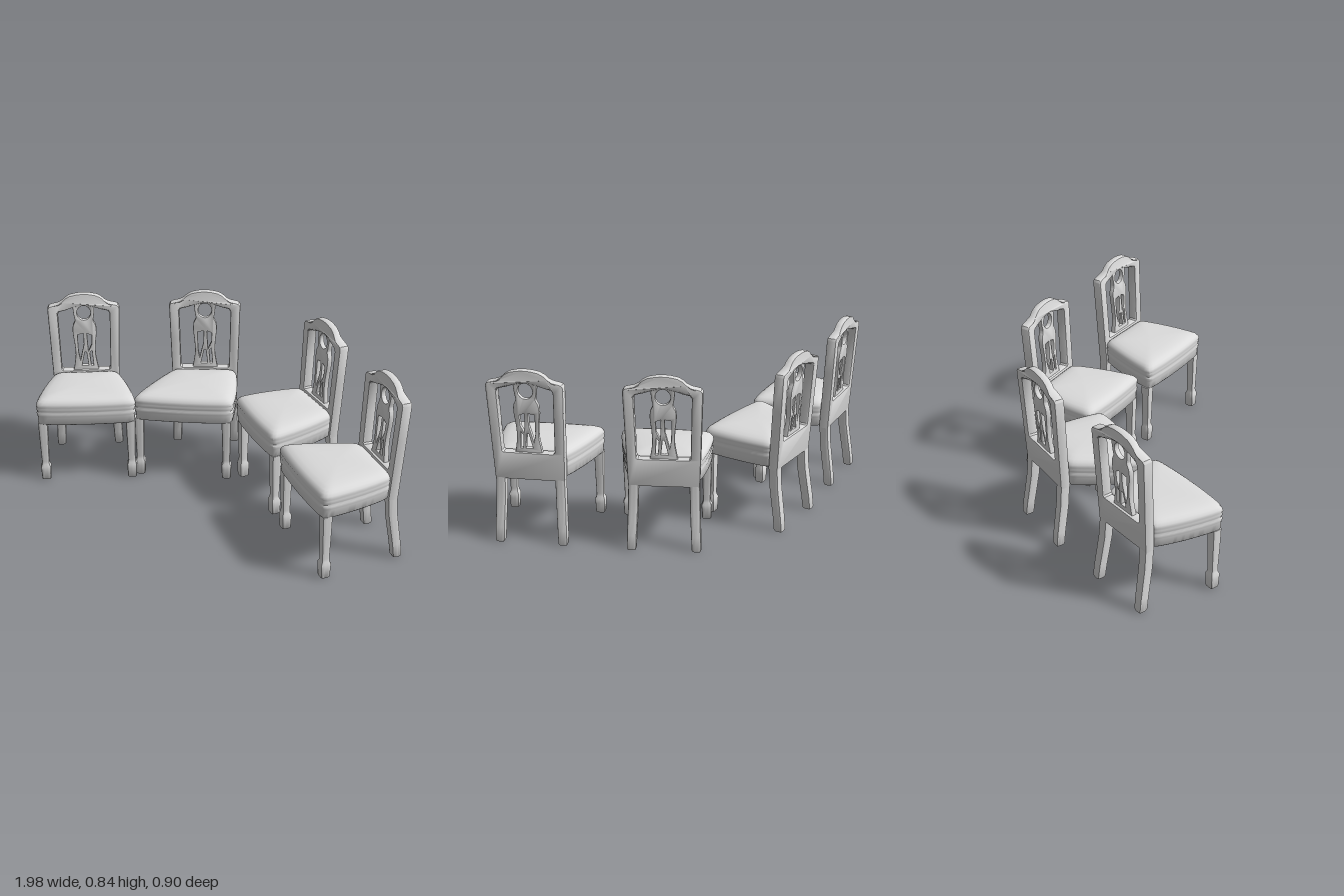
import * as THREE from 'three';
import { toCreasedNormals } from 'three/addons/utils/BufferGeometryUtils.js';

const grey = new THREE.MeshStandardMaterial({ color: 0xdcdcdc });
grey.name = 'plainGrey';

function part(name, geometry, crease = 0.7) {
  const mesh = new THREE.Mesh(toCreasedNormals(geometry, crease), grey);
  mesh.name = name;
  return mesh;
}

// Points of a rounded square spanning -1..1, as [u, v]
function roundedSquare(count, power) {
  return Array.from({ length: count }, (_, i) => {
    const a = (i / count) * Math.PI * 2;
    const c = Math.cos(a), s = Math.sin(a);
    const r = (Math.abs(c) ** power + Math.abs(s) ** power) ** (-1 / power);
    return [c * r, s * r];
  });
}

// Skin joining equal rings of Vector3, closed at both ends
function loft(rings) {
  const n = rings[0].length;
  const cap = (ring) => {
    const c = new THREE.Vector3();
    ring.forEach((p) => c.add(p));
    c.divideScalar(n);
    return ring.map(() => c);
  };
  const all = [cap(rings[0]), ...rings, cap(rings[rings.length - 1])];
  const pos = [], index = [];
  all.forEach((ring) => ring.forEach((p) => pos.push(p.x, p.y, p.z)));
  for (let j = 0; j < all.length - 1; j++) {
    for (let i = 0; i < n; i++) {
      const k = (i + 1) % n, a = j * n + i, b = j * n + k;
      index.push(a, a + n, b, b, a + n, b + n);
    }
  }
  const g = new THREE.BufferGeometry();
  g.setAttribute('position', new THREE.Float32BufferAttribute(pos, 3));
  g.setIndex(index);
  return g;
}

// Square column through stations [x, y, z, half width]
function column(stations) {
  const section = roundedSquare(24, 6);
  return loft(stations.map(([x, y, z, h]) =>
    section.map(([u, v]) => new THREE.Vector3(x + u * h, y, z + v * h))));
}

// Closed outline mirrored from its +x half
function mirrored(half) {
  return [...half, ...half.map(([x, y]) => [-x, y]).reverse()].map(([x, y]) => new THREE.Vector2(x, y));
}

// Extruded panel leaning back and splaying outward, with a thinner crest
function leaningPanel(shape, depth, bevel, crestScale) {
  const g = new THREE.ExtrudeGeometry(shape, {
    depth: depth - 2 * bevel, bevelSize: bevel, bevelThickness: bevel,
    bevelOffset: -bevel, bevelSegments: 2, curveSegments: 24,
  });
  g.translate(0, 0, bevel - depth / 2);
  const p = g.attributes.position;
  for (let i = 0; i < p.count; i++) {
    const x = p.getX(i), y = p.getY(i), t = (y - 0.31) / 0.5;
    const thin = y > 0.7 && Math.abs(x) < 0.113 ? crestScale : 1;
    p.setX(i, x * (1 + 0.1 * t));
    p.setZ(i, p.getZ(i) * thin + 0.035 - 0.032 * t);
  }
  return g;
}

// Posts, arched crest and lower rail
function backFrame() {
  const shape = new THREE.Shape(mirrored([
    [0.162, 0.305], [0.162, 0.44], [0.162, 0.6], [0.162, 0.765], [0.155, 0.777], [0.14, 0.782],
    [0.115, 0.788], [0.095, 0.801], [0.08, 0.817], [0.06, 0.829], [0.03, 0.836], [0.01, 0.838],
  ]));
  shape.holes.push(new THREE.Path(mirrored([
    [0.112, 0.44], [0.118, 0.447], [0.118, 0.6], [0.118, 0.738], [0.11, 0.749],
    [0.08, 0.757], [0.05, 0.768], [0.02, 0.777],
  ])));
  return leaningPanel(shape, 0.048, 0.006, 0.75);
}

// Pierced centre splat with a round eye and branching slots
function backSplat() {
  const edge = new THREE.SplineCurve([
    [0.062, 0.435], [0.055, 0.47], [0.048, 0.52], [0.05, 0.58], [0.055, 0.63], [0.053, 0.67],
    [0.042, 0.697], [0.045, 0.72], [0.048, 0.75], [0.05, 0.8],
  ].map(([x, y]) => new THREE.Vector2(x, y)));
  const shape = new THREE.Shape(mirrored(edge.getPoints(36).map((p) => [p.x, p.y])));
  const eye = new THREE.Path();
  eye.absellipse(0, 0.738, 0.031, 0.037, 0, Math.PI * 2, true);
  const slots = [
    [[-0.034, 0.625], [-0.006, 0.63], [-0.007, 0.57], [-0.026, 0.49], [-0.033, 0.53]],
    [[0.01, 0.63], [0.032, 0.62], [0.03, 0.57], [0.014, 0.535]],
    [[-0.004, 0.53], [0.004, 0.53], [0.012, 0.46], [-0.02, 0.46]],
    [[0.02, 0.525], [0.03, 0.54], [0.036, 0.46], [0.025, 0.46]],
  ];
  shape.holes.push(eye, ...slots.map((s) => new THREE.Path(s.map(([x, y]) => new THREE.Vector2(x, y)))));
  return leaningPanel(shape, 0.024, 0.003, 1);
}

// Apron and cushion over a four-cornered plan, hollow underneath
function seat(left, right) {
  const back = 0.045, halfBack = 0.158, out = 0.032;
  const fl = [left[0] - out, left[1] + out], fr = [right[0] + out, right[1] + out];
  const plan = roundedSquare(96, 16).map(([u, v]) => {
    const s = (u + 1) / 2, t = (v + 1) / 2;
    const mix = THREE.MathUtils.lerp;
    return [
      mix(mix(-halfBack, halfBack, s), mix(fl[0], fr[0], s), t) + 0.012 * u * (1 - v * v),
      mix(back, mix(fl[1], fr[1], s), t) + 0.012 * t * (1 - u * u),
    ];
  });
  const cx = (fl[0] + fr[0]) / 4, cz = (back + (fl[1] + fr[1]) / 2) / 2;
  const levels = [ // [inset, height]
    [0.045, 0.34], [0.04, 0.31], [0.01, 0.31], [0.005, 0.316], [0.004, 0.35], [0.002, 0.358],
    [0.001, 0.37], [0.004, 0.377], [0.002, 0.384], [0.001, 0.396], [0.002, 0.402], [0, 0.408],
    [0.003, 0.419], [0.01, 0.43], [0.022, 0.438], [0.045, 0.445], [0.08, 0.449], [0.13, 0.452],
  ];
  return loft(levels.map(([inset, y]) => plan.map(([x, z]) => {
    const k = 1 - inset / 0.19;
    return new THREE.Vector3(cx + (x - cx) * k, y, cz + (z - cz) * k);
  })));
}

// One chair: origin under its crest, facing local +z; front feet given in world x, z
function createChair({ at, angle, feet }) {
  const chair = new THREE.Group();
  chair.name = 'chair';
  const a = THREE.MathUtils.degToRad(angle), c = Math.cos(a), s = Math.sin(a);
  const [left, right] = feet.map(([x, z]) => {
    const dx = x - at[0], dz = z - at[1];
    return [dx * c - dz * s, dx * s + dz * c];
  });
  chair.add(part('backFrame', backFrame()), part('backSplat', backSplat()), part('seat', seat(left, right), 0.9));

  // Tapered front legs with block feet
  for (const [x, z] of [left, right]) {
    chair.add(part('frontLeg', column([
      [0, 0.018], [0.005, 0.022], [0.05, 0.024], [0.072, 0.025], [0.084, 0.019], [0.1, 0.018],
      [0.2, 0.021], [0.295, 0.023], [0.315, 0.023],
    ].map(([y, h]) => [x, y, z, h]))));
  }
  // Rear legs sweeping backward
  for (const side of [-1, 1]) {
    chair.add(part('rearLeg', column([
      [0.148, 0, -0.002, 0.018], [0.148, 0.008, -0.001, 0.022], [0.146, 0.07, 0.006, 0.0225],
      [0.143, 0.14, 0.017, 0.023], [0.14, 0.22, 0.029, 0.0235], [0.138, 0.32, 0.035, 0.0235],
    ].map(([x, y, z, h]) => [side * x, y, z, h]))));
  }
  chair.position.set(at[0], 0, at[1]);
  chair.rotation.y = a;
  return chair;
}

export function createModel() {
  const model = new THREE.Group();
  model.name = 'chairArc';
  const chairs = [
    { at: [-0.843, 0.014], angle: 37, feet: [[-0.8, 0.42], [-0.457, 0.17]] },
    { at: [-0.355, -0.338], angle: 31, feet: [[-0.44, 0.12], [-0.055, -0.07]] },
    { at: [0.337, -0.338], angle: -32, feet: [[0.005, -0.13], [0.315, 0.085]] },
    { at: [0.84, 0.014], angle: -36, feet: [[0.425, 0.17], [0.77, 0.42]] },
  ];
  chairs.forEach((spec) => model.add(createChair(spec)));
  return model;
}
